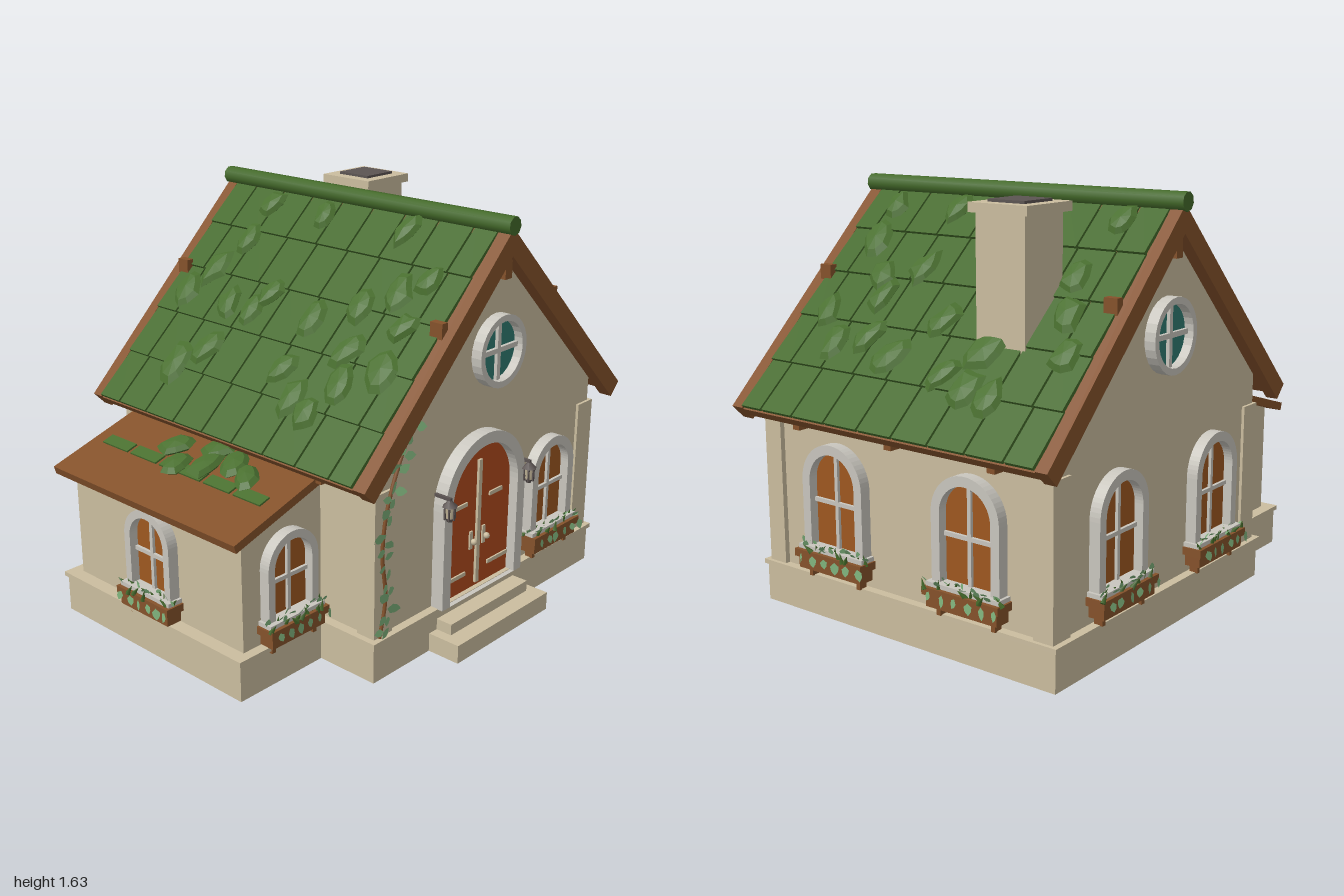
import * as THREE from 'three';

const mat = (name, color, extra = {}) => Object.assign(new THREE.MeshStandardMaterial({ color, ...extra }), { name });
const wall = mat('plaster', 0xcbbd9f), trim = mat('greyStone', 0xc9c6be), wood = mat('wood', 0x85522b);
const tileGreen = mat('roofGreen', 0x446a2a), moss = mat('moss', 0x4a7030, { flatShading: true });
const doorRed = mat('doorRed', 0xb04a1e), pane = mat('amberPane', 0x9e5820), teal = mat('tealGlass', 0x2f7a70);
const leafGreen = mat('leaf', 0x7fb37c, { side: THREE.DoubleSide }), dark = mat('darkIron', 0x5c5452);

let seed = 7;
const rnd = (a = 0, b = 1) => { seed = (seed * 16807) % 2147483647; return a + (b - a) * seed / 2147483647; };

function add(parent, name, geo, material, x = 0, y = 0, z = 0) {
  const m = new THREE.Mesh(geo, material);
  m.name = name;
  m.position.set(x, y, z);
  parent.add(m);
  return m;
}
// box given by its minimum and maximum corners
const box = (p, name, m, x0, x1, y0, y1, z0, z1) =>
  add(p, name, new THREE.BoxGeometry(x1 - x0, y1 - y0, z1 - z0), m, (x0 + x1) / 2, (y0 + y1) / 2, (z0 + z1) / 2);
const group = (p, name, x = 0, y = 0, z = 0, ry = 0) => {
  const g = new THREE.Group();
  g.name = name;
  g.position.set(x, y, z);
  g.rotation.y = ry;
  p.add(g);
  return g;
};
const extrude = (shape, depth) => new THREE.ExtrudeGeometry(shape, { depth, bevelEnabled: false, curveSegments: 14 });

// round-headed outline standing on y = y0
function arch(r, h, y0 = 0, Type = THREE.Shape) {
  const s = new Type();
  s.moveTo(-r, y0);
  s.lineTo(r, y0);
  s.lineTo(r, h - r);
  s.absarc(0, h - r, r, 0, Math.PI, false);
  s.lineTo(-r, y0);
  return s;
}
function archFrame(r, h, t, depth) {
  const s = arch(r + t, h + t);
  s.holes.push(arch(r, h, 0.001, THREE.Path));
  return extrude(s, depth);
}

const leafShape = new THREE.Shape([[0, 0], [0.4, 0.35], [0.32, 0.75], [0, 1.1], [-0.32, 0.75], [-0.4, 0.35]].map(p => new THREE.Vector2(...p)));
const leafGeo = new THREE.ShapeGeometry(leafShape);
function leaf(p, x, y, z, size, spin, tilt) {
  const l = add(p, 'leaf', leafGeo, leafGreen, x, y, z);
  l.scale.setScalar(size);
  l.rotation.set(tilt, rnd(-0.5, 0.5), spin);
}

// wooden planter with upright shoots and trailing leaves
function flowerBox(p, w) {
  const g = group(p, 'flowerBox');
  box(g, 'planter', wood, -w / 2 + 0.012, w / 2 - 0.012, -0.08, -0.025, 0.005, 0.07);
  box(g, 'planterRim', wood, -w / 2, w / 2, -0.035, -0.005, 0, 0.08);
  for (const s of [-1, 1]) box(g, 'planterLeg', wood, s * w * 0.36 - 0.009, s * w * 0.36 + 0.009, -0.115, -0.08, 0.01, 0.045);
  for (let i = 0; i < 12; i++) {
    const x = w * (-0.47 + 0.94 * i / 11);
    const shoot = add(g, 'shoot', new THREE.ConeGeometry(0.012, 0.045, 4), tileGreen, x, 0.008, rnd(0.03, 0.085));
    shoot.rotation.set(rnd(-0.2, 0.9), 0, rnd(-0.8, 0.8));
    leaf(g, x, 0.005, rnd(0.03, 0.07), 0.03, rnd(-1, 1), rnd(0, 1));
    if (i % 2) leaf(g, x, -0.015, 0.086, rnd(0.032, 0.044), Math.PI + rnd(-0.4, 0.4), -0.1);
  }
}

// arched window facing +z, origin at the sill centre on the wall face
function archWindow(p, name, x, y, z, ry, r, h, t, boxWidth) {
  const g = group(p, name, x, y, z, ry);
  add(g, 'windowPane', extrude(arch(r, h), 0.008), pane);
  add(g, 'windowFrame', archFrame(r, h, t, 0.045), trim);
  box(g, 'mullion', trim, -0.008, 0.008, 0, h, 0, 0.02);
  box(g, 'glazingBar', trim, -r, r, h * 0.47, h * 0.47 + 0.016, 0, 0.02);
  box(g, 'windowSill', trim, -r - t - 0.012, r + t + 0.012, -0.015, 0.012, 0, 0.065);
  flowerBox(g, boxWidth);
}

function roundWindow(p, z, ry) {
  const g = group(p, 'roundWindow', 0.2, 1.12, z, ry);
  const ring = new THREE.Shape().absarc(0, 0, 0.142, 0, Math.PI * 2, false);
  ring.holes.push(new THREE.Path().absarc(0, 0, 0.117, 0, Math.PI * 2, true));
  add(g, 'roundFrame', extrude(ring, 0.045), trim);
  add(g, 'roundGlass', new THREE.CircleGeometry(0.12, 28), teal, 0, 0, 0.008);
  box(g, 'roundBarUpright', trim, -0.01, 0.01, -0.118, 0.118, 0, 0.022);
  box(g, 'roundBarLevel', trim, -0.118, 0.118, -0.01, 0.01, 0, 0.022);
}

// ragged flattened clump lying in the xz plane
function mossClump(p, x, y, z, size) {
  const geo = new THREE.SphereGeometry(1, 9, 4), pos = geo.attributes.position;
  const k = Array.from({ length: 9 }, () => rnd(0.75, 1.15));
  for (let i = 0; i < pos.count; i++) {
    const f = k[(i % 10) % 9];
    pos.setXYZ(i, pos.getX(i) * f, pos.getY(i), pos.getZ(i) * f);
  }
  const m = add(p, 'mossClump', geo, moss, x, y, z);
  m.scale.set(size, 0.024, size * 0.72);
  m.rotation.y = rnd(-0.6, 0.6);
}

function door(p) {
  const g = group(p, 'door', 0.11, 0.165, 0.65);
  add(g, 'doorLeaves', extrude(arch(0.205, 0.61), 0.015), doorRed);
  add(g, 'doorFrame', archFrame(0.205, 0.61, 0.047, 0.055), trim);
  box(g, 'doorStrip', wall, -0.01, 0.01, 0.02, 0.54, 0.01, 0.026);
  for (const s of [-1, 1]) {
    for (const [y, a, b] of [[0.375, 0.07, 0.15], [0.08, 0.07, 0.2]])
      box(g, 'hinge', wall, Math.min(s * a, s * b), Math.max(s * a, s * b), y - 0.008, y + 0.008, 0.01, 0.022);
    box(g, 'handlePlate', wall, s * 0.04 - 0.009, s * 0.04 + 0.009, 0.175, 0.25, 0.01, 0.022);
    add(g, 'handleKnob', new THREE.SphereGeometry(0.013, 10, 8), wall, s * 0.04, 0.21, 0.035);
    const l = group(g, 'lantern', s * 0.25, 0.42, 0.075);
    add(l, 'lanternGlass', new THREE.CylinderGeometry(0.022, 0.014, 0.05, 6), wall);
    add(l, 'lanternCap', new THREE.ConeGeometry(0.031, 0.03, 6), dark, 0, 0.038, 0);
    add(l, 'lanternFoot', new THREE.CylinderGeometry(0.017, 0.01, 0.014, 6), dark, 0, -0.031, 0);
    box(l, 'lanternArm', dark, -0.006, 0.006, 0.045, 0.057, -0.07, 0.005);
    for (let i = 0; i < 6; i++) {
      const a = i * Math.PI / 3;
      box(l, 'lanternBar', dark, Math.sin(a) * 0.02 - 0.003, Math.sin(a) * 0.02 + 0.003, -0.028, 0.028, Math.cos(a) * 0.02 - 0.003, Math.cos(a) * 0.02 + 0.003);
    }
  }
}

// clump positions as [x, z] on each slope
const leftMoss = [[-.2, -.62], [-.43, -.44], [-.36, -.33], [-.21, -.36], [-.11, -.54], [0, -.46], [.13, -.45], [-.21, -.23], [-.15, -.18], [.13, -.15], [-.35, .08],
  [-.19, .08], [-.42, .2], [-.45, .3], [-.25, .32], [-.35, .38], [-.12, .27], [.13, .27], [-.06, .4], [-.15, .5], [-.28, .52], [0, .5]];
const rightMoss = [[.27, .51], [.27, .19], [.27, -.57], [.4, .5], [.52, .36], [.48, .18], [.66, .52], [.59, .3], [.72, .25], [.75, .4], [.77, .1], [.64, -.05],
  [.79, -.18], [.71, -.3], [.83, -.3], [.84, -.42], [.69, -.63], [.57, -.55], [.46, -.5]];

function mainRoof(p) {
  const a = Math.atan2(0.785, 0.8), len = 1.12;
  const seams = [0.66, 0.55, 0.385, 0.22, 0.055, -0.11, -0.275, -0.44, -0.605, -0.73];
  for (const s of [-1, 1]) {
    const g = group(p, s > 0 ? 'leftRoofSlope' : 'rightRoofSlope', 0.2, 1.585, 0);
    g.rotation.z = -s * a;
    const strip = (name, y0, y1, z0, z1) => box(g, name, wood, s > 0 ? 0 : -len, s > 0 ? len : 0, y0, y1, z0, z1);
    strip('roofBoards', -0.045, -0.004, -0.74, 0.68);
    strip('frontBargeBoard', -0.07, 0.004, 0.66, 0.715);
    strip('backBargeBoard', -0.07, 0.004, -0.78, -0.73);
    // overlapping courses of green panels
    for (let row = 0; row < 5; row++) for (let c = 0; c < 9; c++) {
      const w = seams[c] - seams[c + 1] - 0.009;
      const t = add(g, 'roofPanel', new THREE.BoxGeometry(0.228, 0.014, w), tileGreen, s * (0.118 + row * 0.221), 0.004, (seams[c] + seams[c + 1]) / 2);
      t.rotation.z = s * 0.05;
    }
    for (const [x, z] of s > 0 ? rightMoss : leftMoss) mossClump(g, s * Math.abs(x - 0.2) / Math.cos(a), 0.012, z, rnd(0.075, 0.1));
    // purlin ends and eave brackets
    for (const z of [0.65, -0.71]) box(p, 'purlinEnd', wood, 0.2 + s * 0.34 - 0.016, 0.2 + s * 0.34 + 0.016, 1.2, 1.3, z - 0.028, z + 0.028);
    for (const z of [0.435, -0.03, -0.5]) box(p, 'eaveBracket', wood, 0.2 + s * 0.69 - 0.05, 0.2 + s * 0.69 + 0.05, 0.74, 0.79, z - 0.017, z + 0.017);
  }
  for (const z of [0.67, -0.73]) box(p, 'ridgeBeamEnd', wood, 0.18, 0.22, 1.4, 1.49, z - 0.03, z + 0.03);
  const ridge = add(p, 'ridgeRoll', new THREE.CylinderGeometry(0.036, 0.036, 1.51, 9), tileGreen, 0.2, 1.6, -0.035);
  ridge.rotation.x = Math.PI / 2;
}

function annex(p) {
  const s = new THREE.Shape([[-0.87, 0.15], [-0.46, 0.15], [-0.46, 0.745], [-0.87, 0.62]].map(q => new THREE.Vector2(...q)));
  add(p, 'annexWalls', extrude(s, 0.94), wall, 0, 0, -0.56);
  const g = group(p, 'annexRoof', -0.94, 0.625, -0.09);
  g.rotation.z = Math.atan2(0.15, 0.49);
  box(g, 'annexRoofBoards', wood, 0, 0.53, -0.025, 0.008, -0.515, 0.515);
  for (const [z0, z1] of [[-0.45, -0.3], [-0.28, -0.13], [-0.11, 0.12], [0.14, 0.28], [0.3, 0.44]]) box(g, 'annexMossStrip', moss, 0.205, 0.257, 0.007, 0.015, z0, z1);
  for (const [x, z] of [[0.23, -0.04], [0.28, 0.08], [0.32, -0.13], [0.34, 0.18], [0.38, 0.05], [0.3, 0.28]]) mossClump(g, x, 0.02, z, 0.08);
}

function vine(p) {
  const g = group(p, 'climbingVine');
  const curve = new THREE.CatmullRomCurve3([[-.46, .17], [-.43, .32], [-.45, .5], [-.43, .66], [-.37, .82], [-.3, .95], [-.2, 1.08], [-.08, 1.18]].map(q => new THREE.Vector3(q[0], q[1], 0.668)));
  add(g, 'vineStem', new THREE.TubeGeometry(curve, 40, 0.008, 5), wood);
  for (let i = 0; i < 36; i++) {
    const q = curve.getPoint(i / 36), side = i % 2 ? 1 : -1;
    leaf(g, q.x, q.y, q.z + 0.012, rnd(0.038, 0.055), side * rnd(0.7, 2.3), rnd(-0.3, 0.3));
  }
}

export function createModel() {
  const house = new THREE.Group();
  house.name = 'cottage';

  // plinth and steps
  box(house, 'mainPlinth', wall, -0.5, 0.895, 0, 0.15, -0.735, 0.675);
  box(house, 'mainPlinthLip', wall, -0.51, 0.905, 0.15, 0.168, -0.745, 0.685);
  box(house, 'annexPlinth', wall, -0.915, -0.49, 0, 0.15, -0.6, 0.41);
  box(house, 'annexPlinthLip', wall, -0.925, -0.5, 0.15, 0.168, -0.61, 0.42);
  box(house, 'lowerStep', wall, -0.18, 0.4, 0, 0.075, 0.66, 0.815);
  box(house, 'upperStep', wall, -0.135, 0.355, 0.075, 0.12, 0.66, 0.745);

  // walls and corner piers
  const gable = new THREE.Shape([[-0.47, 0.15], [0.87, 0.15], [0.87, 0.875], [0.2, 1.53], [-0.47, 0.875]].map(q => new THREE.Vector2(...q)));
  add(house, 'mainWalls', extrude(gable, 1.36), wall, 0, 0, -0.71);
  for (const x of [-0.435, 0.84]) for (const z of [0.62, -0.68]) box(house, 'cornerPier', wall, x - 0.05, x + 0.05, 0.15, 0.74, z - 0.042, z + 0.042);

  door(house);
  for (const [z, ry] of [[0.65, 0], [-0.71, Math.PI]]) roundWindow(house, z, ry);
  archWindow(house, 'frontWindow', 0.58, 0.28, 0.65, 0, 0.105, 0.35, 0.038, 0.315);
  for (const z of [0.285, -0.36]) archWindow(house, 'leftWindow', 0.87, 0.28, z, Math.PI / 2, 0.115, 0.38, 0.038, 0.345);
  for (const x of [-0.125, 0.515]) archWindow(house, 'backWindow', x, 0.28, -0.71, Math.PI, 0.115, 0.38, 0.038, 0.345);
  archWindow(house, 'annexFrontWindow', -0.655, 0.255, 0.38, 0, 0.095, 0.305, 0.032, 0.295);
  archWindow(house, 'annexSideWindow', -0.87, 0.255, -0.09, -Math.PI / 2, 0.095, 0.305, 0.032, 0.295);

  mainRoof(house);
  annex(house);
  vine(house);

  // chimney
  box(house, 'chimney', wall, 0.48, 0.695, 1.0, 1.58, -0.455, -0.24);
  box(house, 'chimneyCap', wall, 0.458, 0.715, 1.57, 1.605, -0.48, -0.222);
  box(house, 'chimneyFlue', dark, 0.507, 0.665, 1.6, 1.615, -0.43, -0.27);
  return house;
}
